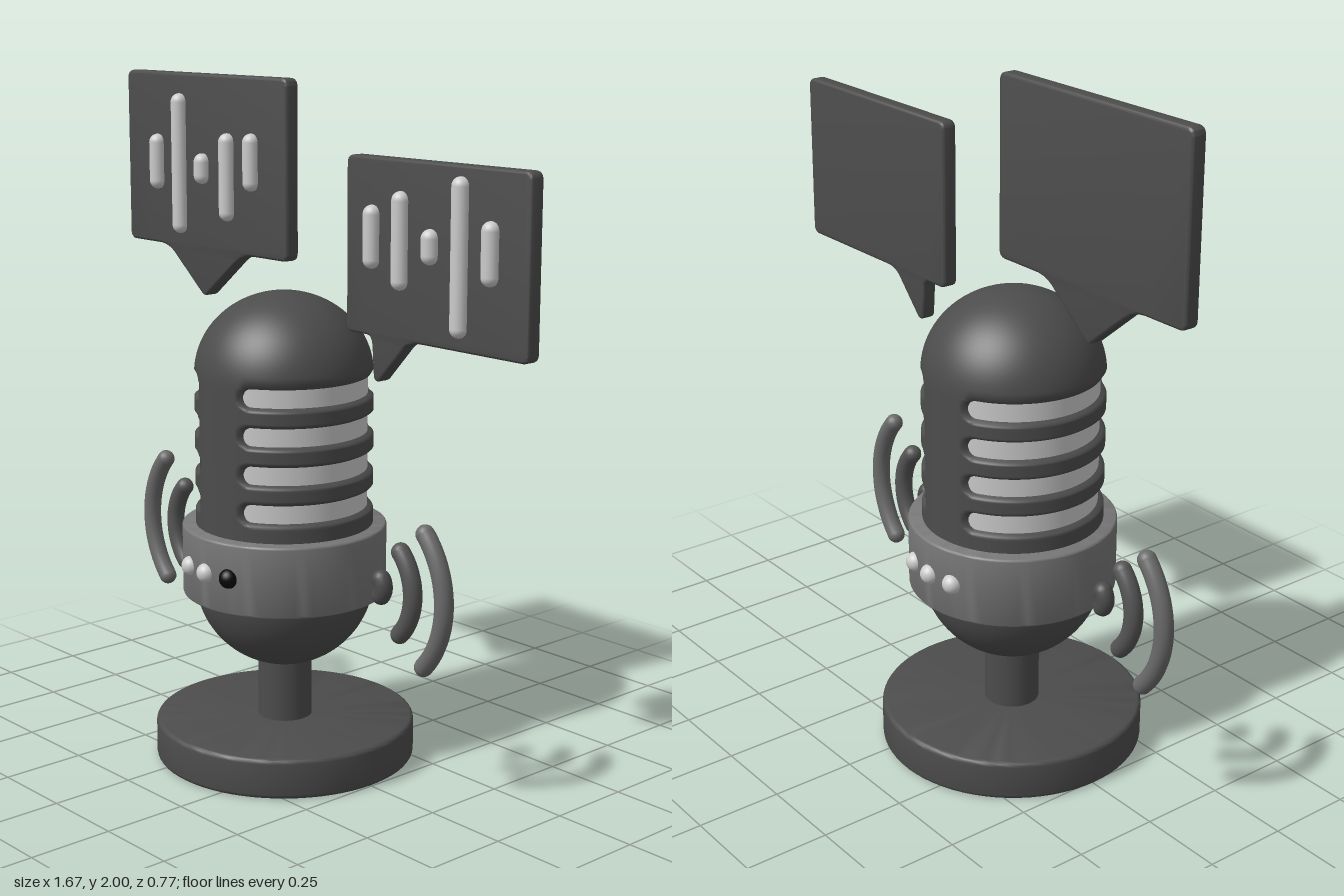
import * as THREE from 'three';
import { toCreasedNormals } from 'three/addons/utils/BufferGeometryUtils.js';

const MIC_X = -0.13;
const paint = (color) => new THREE.MeshStandardMaterial({ color });
const DARK = paint(0x4c4c4c), MID = paint(0x777777), LIGHT = paint(0xcccccc), BLACK = paint(0x080808);

function add(parent, name, geometry, material, x = 0, y = 0, z = 0) {
  const mesh = new THREE.Mesh(geometry, material);
  mesh.name = name;
  mesh.position.set(x, y, z);
  parent.add(mesh);
  return mesh;
}

const vectors = (pairs) => pairs.map(([x, y]) => new THREE.Vector2(x, y));

// Solid disc with softly rounded rims
function disc(radius, y0, y1, b) {
  const pts = [[0, y0]];
  for (let i = 0; i <= 4; i++) {
    const a = (i / 4) * Math.PI / 2;
    pts.push([radius - b + b * Math.sin(a), y0 + b - b * Math.cos(a)]);
  }
  for (let i = 0; i <= 4; i++) {
    const a = (i / 4) * Math.PI / 2;
    pts.push([radius - b + b * Math.cos(a), y1 - b + b * Math.sin(a)]);
  }
  pts.push([0, y1]);
  return toCreasedNormals(new THREE.LatheGeometry(vectors(pts), 72), 0.6);
}

// Domed shell whose wall dips inwards along capsule-shaped slots on both sides
function slottedShell() {
  const R = 0.26, slots = [1.131, 1.02, 0.909, 0.798], halfLength = 0.286;
  const pts = [];
  for (let i = 0; i <= 96; i++) pts.push([R, 0.68 + 0.48 * i / 96]);
  for (let i = 1; i <= 24; i++) {
    const a = (i / 24) * Math.PI / 2;
    pts.push([i === 24 ? 0 : R * Math.cos(a), 1.16 + 0.239 * Math.sin(a)]);
  }
  const geo = new THREE.LatheGeometry(vectors(pts), 168);
  const p = geo.attributes.position;
  for (let i = 0; i < p.count; i++) {
    const x = p.getX(i), y = p.getY(i), z = p.getZ(i);
    if (y > 1.2) continue;
    const u = Math.atan2(Math.abs(z), Math.abs(x)) * R;
    const du = Math.max(u - halfLength, 0);
    const d = Math.min(...slots.map((s) => Math.hypot(du, y - s)));
    const dip = 0.03 * (1 - THREE.MathUtils.smoothstep(d, 0.018, 0.036));
    const k = 1 - dip / R;
    p.setXYZ(i, x * k, y, z * k);
  }
  geo.computeVertexNormals();
  return geo;
}

// Bubble plate: rounded rectangle with a tail let into its lower edge
function bubblePlate(x0, x1, y0, y1, drawTail) {
  const b = 0.008, r = 0.016, s = new THREE.Shape();
  x0 += b; x1 -= b; y0 += b; y1 -= b;
  s.moveTo(x1, y0 + r);
  s.lineTo(x1, y1 - r);
  s.quadraticCurveTo(x1, y1, x1 - r, y1);
  s.lineTo(x0 + r, y1);
  s.quadraticCurveTo(x0, y1, x0, y1 - r);
  s.lineTo(x0, y0 + r);
  s.quadraticCurveTo(x0, y0, x0 + r, y0);
  drawTail(s, y0);
  s.lineTo(x1 - r, y0);
  s.quadraticCurveTo(x1, y0, x1, y0 + r);
  const geo = new THREE.ExtrudeGeometry(s, {
    depth: 0.03, bevelEnabled: true, bevelSize: b, bevelThickness: b, bevelSegments: 3, curveSegments: 8,
  });
  geo.translate(0, 0, -0.018);
  return toCreasedNormals(geo, 0.6);
}

function bubble(name, plate, bars) {
  const group = new THREE.Group();
  group.name = name;
  add(group, 'bubblePlate', plate, DARK);
  const r = 0.025;
  for (const [x, low, high] of bars) {
    add(group, 'soundBar', new THREE.CapsuleGeometry(r, high - low - 2 * r, 8, 20), LIGHT, x, (low + high) / 2, 0.025);
  }
  return group;
}

// Three curved sound waves, each a tube with round ends
function soundWaves(name) {
  const group = new THREE.Group(), r = 0.027;
  group.name = name;
  const waves = [[0.04, 0.64, 0.375, DARK], [0.17, 0.78, 0.363, paint(0x555555)], [0.28, 0.75, 0.374, paint(0x6a6a6a)]];
  for (const [radius, angle, cx, material] of waves) {
    const pts = [];
    for (let i = 0; i <= 16; i++) {
      const a = angle * (i / 8 - 1);
      pts.push(new THREE.Vector3(cx + radius * Math.cos(a), 0.608 + radius * Math.sin(a), 0));
    }
    const wave = new THREE.Group();
    wave.name = 'soundWave';
    add(wave, 'waveArc', new THREE.TubeGeometry(new THREE.CatmullRomCurve3(pts), 32, r, 16), material);
    for (const end of [pts[0], pts[16]]) {
      add(wave, 'waveTip', new THREE.SphereGeometry(r, 16, 12), material, end.x, end.y);
    }
    group.add(wave);
  }
  return group;
}

export function createModel() {
  const model = new THREE.Group();
  model.name = 'microphone';

  // Stand, bowl and band
  const mic = new THREE.Group();
  mic.name = 'microphoneBody';
  mic.position.x = MIC_X;
  model.add(mic);
  add(mic, 'base', disc(0.385, 0, 0.12, 0.014), DARK);
  add(mic, 'stem', new THREE.CylinderGeometry(0.08, 0.08, 0.24, 40), DARK, 0, 0.22);
  add(mic, 'lowerBowl', new THREE.SphereGeometry(0.265, 64, 24, 0, Math.PI * 2, Math.PI / 2, Math.PI / 2), DARK, 0, 0.55);
  add(mic, 'band', disc(0.3, 0.508, 0.718, 0.008), MID);

  // Grille: light core showing through the slots of the shell
  add(mic, 'grilleCore', new THREE.CylinderGeometry(0.243, 0.243, 0.46, 96), LIGHT, 0, 0.94);
  add(mic, 'slottedShell', slottedShell(), DARK);

  // Buttons on the front and back of the band
  for (const side of [1, -1]) {
    for (const x of [-0.086, 0, 0.086]) {
      const z = side * Math.sqrt(0.295 ** 2 - x * x);
      add(mic, 'button', new THREE.SphereGeometry(0.029, 24, 16), side > 0 && x > 0 ? BLACK : LIGHT, x, 0.615, z);
    }
  }

  // Sound waves on both sides
  const left = soundWaves('leftSoundWaves');
  const right = soundWaves('rightSoundWaves');
  right.rotation.y = Math.PI;
  left.position.x = right.position.x = -0.122;
  model.add(left, right);

  // Speech bubbles with sound bars
  const bigPlate = bubblePlate(-0.836, -0.093, 1.485, 2, (s, y) => {
    s.lineTo(-0.69, y);
    s.quadraticCurveTo(-0.64, y, -0.605, y - 0.032);
    s.lineTo(-0.482, 1.359);
    s.quadraticCurveTo(-0.472, 1.352, -0.462, 1.359);
    s.lineTo(-0.335, y - 0.032);
    s.quadraticCurveTo(-0.3, y, -0.25, y);
  });
  model.add(bubble('rightSpeechBubble', bigPlate, [
    [-0.683, 1.65, 1.815], [-0.574, 1.525, 1.94], [-0.468, 1.68, 1.77], [-0.352, 1.58, 1.835], [-0.243, 1.675, 1.84],
  ]));
  const smallPlate = bubblePlate(0.156, 0.833, 1.322, 1.808, (s, y) => {
    s.lineTo(0.235, y);
    s.quadraticCurveTo(0.265, y, 0.267, y - 0.04);
    s.lineTo(0.273, 1.21);
    s.quadraticCurveTo(0.277, 1.2, 0.287, 1.21);
    s.lineTo(0.375, y - 0.025);
    s.quadraticCurveTo(0.4, y, 0.44, y);
  });
  model.add(bubble('leftSpeechBubble', smallPlate, [
    [0.263, 1.507, 1.68], [0.373, 1.46, 1.725], [0.485, 1.54, 1.635], [0.594, 1.36, 1.78], [0.702, 1.507, 1.675],
  ]));

  return model;
}
